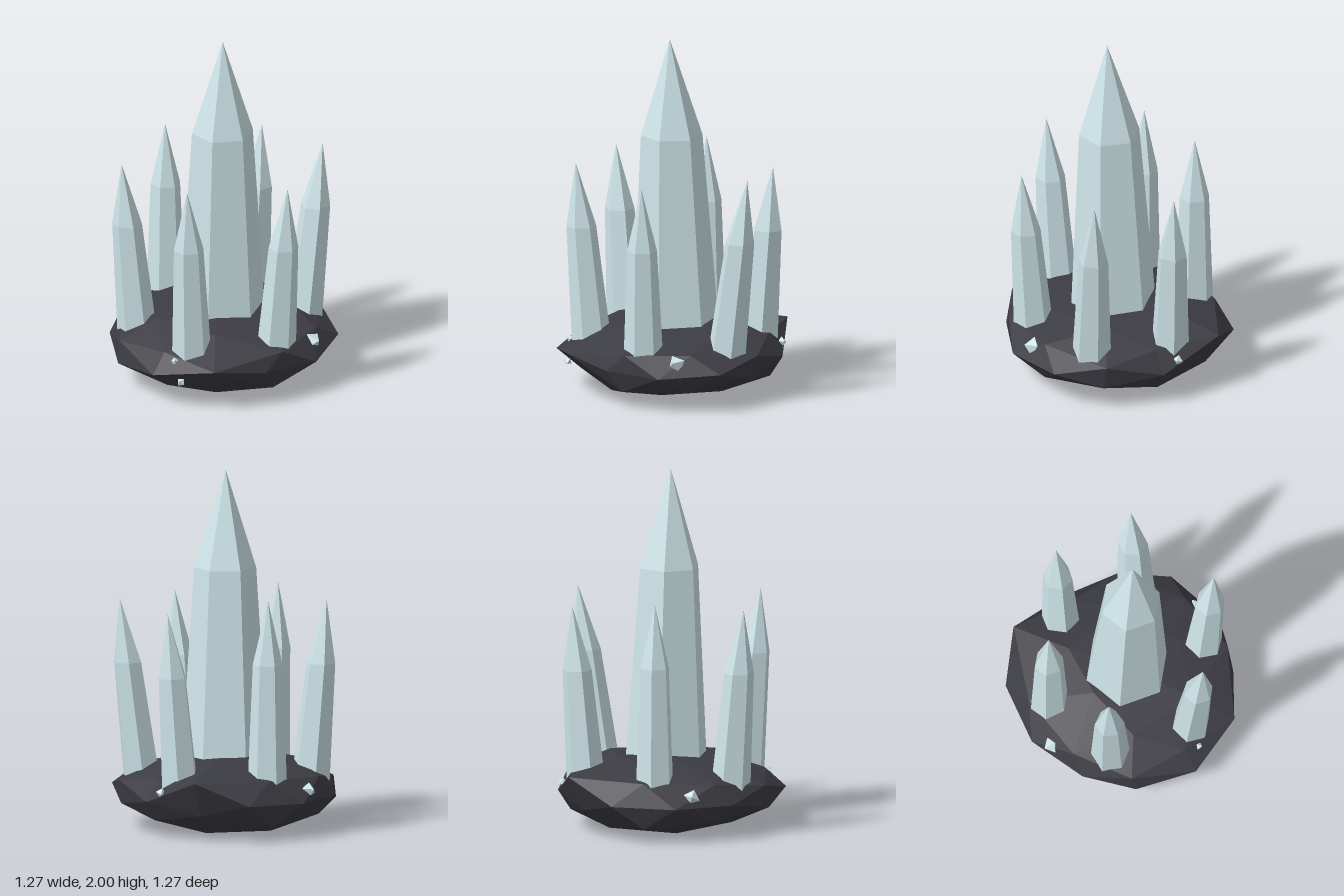
import * as THREE from 'three';

const crystalMat = new THREE.MeshStandardMaterial({ color: 0xcfe6ea, flatShading: true });
const rockMat = new THREE.MeshStandardMaterial({ color: 0x3c3c43, flatShading: true });

function addMesh(group, name, geometry, material) {
  const mesh = new THREE.Mesh(geometry, material);
  mesh.name = name;
  group.add(mesh);
  return mesh;
}

// Rock: squashed icosphere; the nearest corner is pulled to each of these points
const rockCorners = [
  [0.63, 0.2, -0.03], [-0.64, 0.2, -0.03], [0, 0.2, 0.64], [0, 0.2, -0.63],
  [0.55, 0.22, -0.37], [-0.57, 0.21, -0.38], [-0.53, 0.2, 0.3], [0.51, 0.21, 0.28],
  [0.31, 0.28, -0.54], [-0.36, 0.34, -0.6], [-0.33, 0.27, 0.49], [0.34, 0.26, 0.53],
  [0.55, 0.31, 0.17], [-0.54, 0.33, -0.2], [0.5, 0.09, 0.19], [-0.57, 0.08, -0.2],
  [0.3, 0.03, 0], [-0.34, 0.01, 0], [-0.24, 0.42, 0], [0.33, 0.375, 0],
  [0, 0.3, 0.53], [0, 0.09, 0.5], [0, 0.09, -0.56], [0, 0, 0],
  [0.2, 0.39, -0.32], [-0.2, 0.41, -0.3], [0.19, 0.02, 0.3], [-0.2, 0.02, -0.36],
].map((p) => new THREE.Vector3(...p));

function rockGeometry() {
  const geo = new THREE.IcosahedronGeometry(1, 1);
  geo.scale(0.64, 0.21, 0.64).translate(0, 0.21, 0);
  const pos = geo.attributes.position;
  const v = new THREE.Vector3();
  for (let i = 0; i < pos.count; i++) {
    v.fromBufferAttribute(pos, i);
    const near = rockCorners.reduce((a, b) => (a.distanceTo(v) < b.distanceTo(v) ? a : b));
    if (near.distanceTo(v) < 0.125) pos.setXYZ(i, near.x, near.y, near.z);
  }
  geo.computeVertexNormals();
  return geo;
}

// Six-sided tapered shaft with a pointed cap, sheared so its tip leans over
function crystalGeometry(base, tip, rBase, rShoulder, shoulderY, turn) {
  const [bx, by, bz] = base;
  const [tx, ty, tz] = tip;
  const profile = [[0, by], [rBase, by], [rShoulder, shoulderY], [0, ty]];
  const geo = new THREE.LatheGeometry(profile.map((p) => new THREE.Vector2(...p)), 6, turn).toNonIndexed();
  const pos = geo.attributes.position;
  for (let i = 0; i < pos.count; i++) {
    const t = (pos.getY(i) - by) / (ty - by);
    pos.setX(i, pos.getX(i) + bx + (tx - bx) * t);
    pos.setZ(i, pos.getZ(i) + bz + (tz - bz) * t);
  }
  geo.computeVertexNormals();
  return geo;
}

export function createModel() {
  const model = new THREE.Group();
  model.name = 'crystalCluster';
  addMesh(model, 'rockBase', rockGeometry(), rockMat);

  // Tall centre crystal
  addMesh(model, 'mainCrystal',
    crystalGeometry([0, 0.3, -0.03], [0.025, 2, 0], 0.245, 0.172, 1.45, 0.28), crystalMat);

  // Ring of smaller crystals: foot x, z, tip x, y, z, turn
  const ring = [
    [-0.45, -0.13, -0.455, 1.33, -0.13, 0.25],
    [-0.34, 0.3, -0.4, 1.28, 0.37, 0],
    [0.11, 0.42, 0.14, 1.3, 0.51, 0.25],
    [0.44, 0.08, 0.52, 1.26, 0.08, 0.2],
    [0.31, -0.36, 0.36, 1.29, -0.49, -0.15],
    [-0.12, -0.48, -0.1, 1.26, -0.56, -0.3],
  ];
  ring.forEach(([x, z, tx, ty, tz, turn]) => addMesh(model, 'smallCrystal',
    crystalGeometry([x, 0.22, z], [tx, ty, tz], 0.112, 0.083, ty - 0.36, turn), crystalMat));

  // Chips half buried around the rim: x, y, z, size
  const chips = [
    [0.55, 0.27, -0.12, 0.055], [-0.575, 0.255, 0.065, 0.048],
    [0.085, 0.275, 0.55, 0.022], [-0.1, 0.26, -0.61, 0.03],
    [0.13, 0.16, 0.555, 0.025], [-0.2, 0.18, -0.53, 0.03],
  ];
  chips.forEach(([x, y, z, size], i) => {
    const chip = addMesh(model, 'crystalChip', new THREE.OctahedronGeometry(size), crystalMat);
    chip.position.set(x, y, z);
    chip.rotation.set(0.5 + i, i * 1.3, 0.4);
  });
  return model;
}
